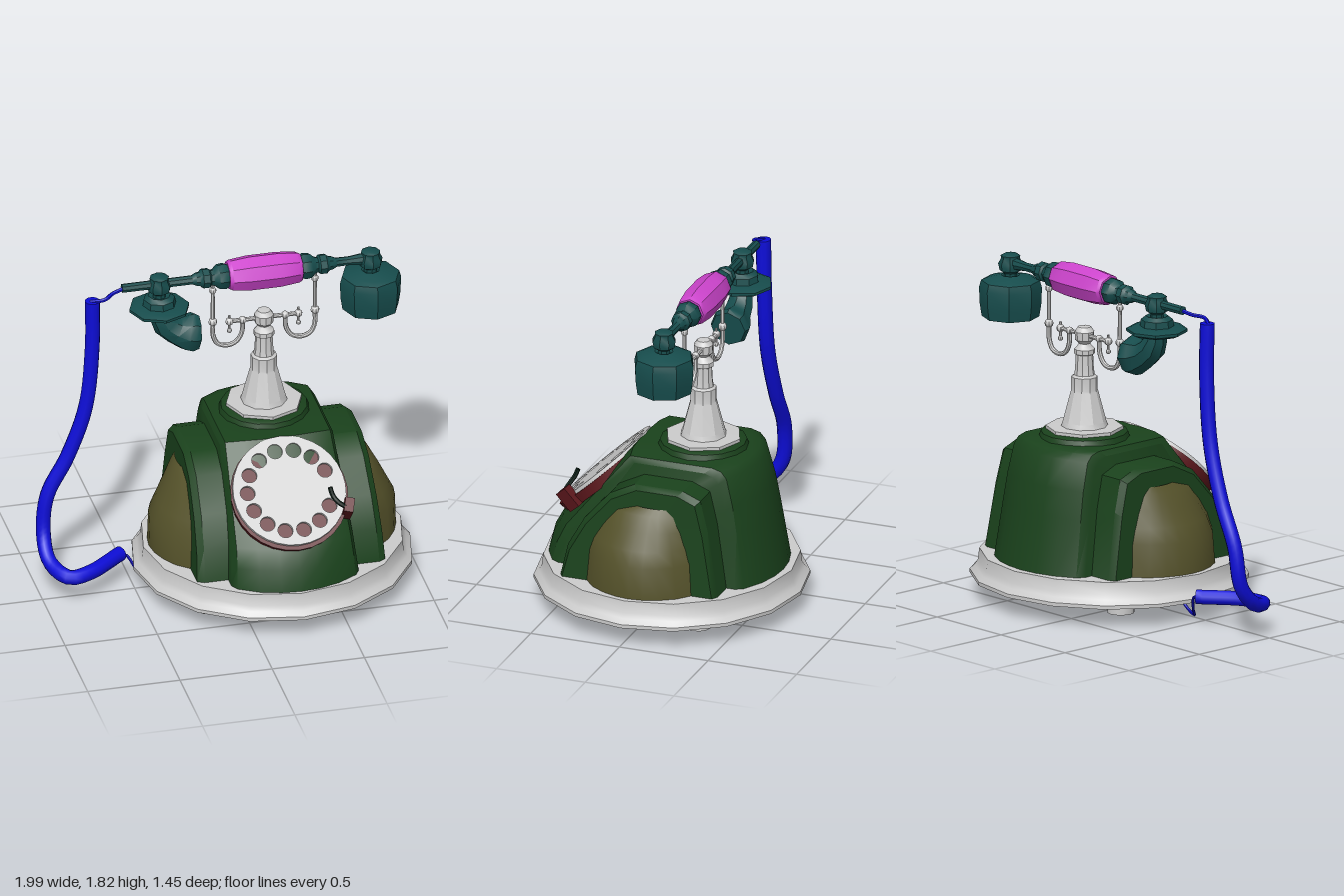
import * as THREE from 'three';
import { toCreasedNormals } from 'three/addons/utils/BufferGeometryUtils.js';

const V = (x, y, z) => new THREE.Vector3(x, y, z);
const mat = (color) => new THREE.MeshStandardMaterial({ color, side: THREE.DoubleSide });
const CX = 0.245, CZ = -0.183;   // axis of the stand and the handset

export function createModel() {
  const grey = mat(0xcccccc), green = mat(0x1a421c), olive = mat(0x55522a);
  const teal = mat(0x174d4d), pink = mat(0xcc44cc), red = mat(0x5c171c);
  const blue = mat(0x0d0dd8), black = mat(0x0c2018);
  const model = new THREE.Group();

  function add(name, geo, material, x = 0, y = 0, z = 0, crease = 0.6, parent = model) {
    const mesh = new THREE.Mesh(toCreasedNormals(geo, crease), material);
    mesh.name = name;
    mesh.position.set(x, y, z);
    parent.add(mesh);
    return mesh;
  }
  const lathe = (pts, sides) =>
    new THREE.LatheGeometry(pts.map(([r, y]) => new THREE.Vector2(r, y)), sides);
  const tube = (pts, r, segs = 24, sides = 8) =>
    new THREE.TubeGeometry(new THREE.CatmullRomCurve3(pts.map((p) => V(...p))), segs, r, sides);

  // Skin through equal rings of points (clockwise seen from the last ring)
  function loft(rings, closed = true) {
    const n = rings[0].length, pos = [], idx = [];
    rings.forEach((ring) => ring.forEach((p) => pos.push(p.x, p.y, p.z)));
    for (let i = 0; i < rings.length - 1; i++)
      for (let j = 0; j < (closed ? n : n - 1); j++) {
        const a = i * n + j, b = i * n + (j + 1) % n;
        idx.push(a, a + n, b + n, a, b + n, b);
      }
    if (closed) {
      const e = (rings.length - 1) * n;
      for (let j = 1; j < n - 1; j++) idx.push(0, j, j + 1, e, e + j + 1, e + j);
    }
    const g = new THREE.BufferGeometry();
    g.setAttribute('position', new THREE.Float32BufferAttribute(pos, 3));
    g.setIndex(idx);
    return g;
  }

  // Base plate and feet
  add('basePlate', lathe([[0, 0.11], [0.725, 0.11], [0.725, 0.13], [0.7, 0.155], [0.683, 0.18],
    [0.675, 0.245], [0, 0.245]], 16), grey, CX, 0, -0.005).scale.x = 1.033;
  for (const x of [-0.19, 0.68]) for (const z of [0.36, -0.32])
    add('foot', new THREE.CylinderGeometry(0.073, 0.073, 0.08, 12), grey, x, 0.085, z);

  // Body: a bowed centre section over a wider shoulder section, both [z, y] profiles lofted in x
  function section(name, profile, halfWidth, flare, bow, steps) {
    const rings = steps.map(([s, inset]) => profile.map(([z, y]) => V(
      CX + s * (halfWidth - flare * (y - 0.245)),
      y > 0.3 ? y - inset : y,
      z * (1 - bow * s * s) - Math.sign(z) * inset)));
    add(name, loft(rings), green);
  }
  section('bodyCentre', [[0.65, 0.245], [0.62, 0.36], [0.565, 0.46], [0.36, 0.68], [0.15, 0.9],
    [-0.41, 0.9], [-0.47, 0.885], [-0.505, 0.85], [-0.55, 0.7], [-0.58, 0.55], [-0.635, 0.245]],
  0.345, 0.06, 0.17, [[-1, 0.035], [-0.93, 0.008], [-0.62, 0], [-0.3, 0], [0, 0], [0.3, 0],
    [0.62, 0], [0.93, 0.008], [1, 0.035]]);
  section('bodyShoulders', [[0.44, 0.245], [0.4, 0.42], [0.31, 0.58], [0.17, 0.74], [0.03, 0.81],
    [-0.24, 0.81], [-0.34, 0.77], [-0.385, 0.6], [-0.445, 0.245]],
  0.51, 0.045, 0, [[-1, 0.02], [-0.93, 0], [0, 0], [0.93, 0], [1, 0.02]]);

  // Bulging side panels: rows of [y, front z, back z, half width]
  const panelRows = [[0.245, 0.3, -0.33, 0.665], [0.42, 0.28, -0.31, 0.66], [0.5, 0.25, -0.285, 0.62],
    [0.59, 0.19, -0.25, 0.575], [0.67, 0.12, -0.21, 0.53], [0.705, 0.01, -0.17, 0.5]];
  for (const side of [-1, 1]) {
    const rows = panelRows.map(([y, front, back, w]) => {
      const row = [];
      for (let i = 0; i <= 8; i++) {
        const t = i / 8;
        row.push(V(CX + side * (0.485 + (w - 0.485) * Math.pow(Math.sin(Math.PI * t), 0.7)),
          y, side > 0 ? front + (back - front) * t : back + (front - back) * t));
      }
      return row.reverse();
    });
    add('sidePanel', loft(rows, false), olive, 0, 0, 0, 0.9);
  }

  // Stand
  add('topDisc', lathe([[0.25, 0.87], [0.23, 0.925], [0.21, 0.935], [0, 0.935]], 16), green, CX, 0, CZ);
  add('standPlate', lathe([[0.205, 0.92], [0.205, 0.952], [0, 0.956]], 8), grey, CX, 0, CZ);
  add('standColumn', lathe([[0.125, 0.95], [0.115, 0.98], [0.073, 1.14], [0.07, 1.15], [0.07, 1.22],
    [0.055, 1.23], [0.05, 1.26], [0.046, 1.34], [0.055, 1.345], [0.055, 1.37], [0.04, 1.385],
    [0.03, 1.4], [0.05, 1.42], [0.052, 1.465], [0.035, 1.49], [0, 1.495]], 10), grey, CX, 0, CZ);

  // Cradle: crossbar with knobs and a hooked arm at each side
  const bar = add('cradleBar', new THREE.CylinderGeometry(0.012, 0.012, 0.37, 8), grey, CX, 1.445, CZ);
  bar.rotation.z = Math.PI / 2;
  for (const s of [-1, 1]) {
    const ball = (d, y, r) =>
      add('cradleKnob', new THREE.SphereGeometry(r, 8, 6), grey, CX + s * d, y, CZ);
    ball(0.187, 1.445, 0.022);
    ball(0.115, 1.445, 0.021);
    ball(0.187, 1.39, 0.014);
    ball(0.277, 1.455, 0.024);
    ball(0.277, 1.645, 0.02);
    add('cradleDrop', new THREE.CylinderGeometry(0.007, 0.007, 0.1, 6), grey, CX + s * 0.187, 1.43, CZ);
    add('cradleArm', tube([[0.277, 1.455], [0.275, 1.37], [0.25, 1.32], [0.2, 1.303], [0.15, 1.32],
      [0.12, 1.37], [0.115, 1.445]].map(([d, y]) => [CX + s * d, y, CZ]), 0.013), grey);
    add('cradlePost', new THREE.CylinderGeometry(0.01, 0.012, 0.26, 8), grey, CX + s * 0.277, 1.57, CZ);
  }

  // Dial, tilted back; local +z points out of its face
  const dial = new THREE.Group();
  dial.name = 'dial';
  dial.position.set(0.248, 0.69, 0.36);
  dial.rotation.x = -0.83;
  model.add(dial);
  const rim = add('dialRim', new THREE.CylinderGeometry(0.315, 0.305, 0.055, 28), red, 0, -0.012, -0.03, 0.6, dial);
  rim.rotation.x = Math.PI / 2;
  const face = new THREE.Shape().absarc(0, 0, 0.303, 0, Math.PI * 2);
  for (let k = 1; k <= 13; k++) {
    const a = -0.05 + k * Math.PI / 7;
    face.holes.push(new THREE.Path().absarc(0.225 * Math.cos(a), 0.225 * Math.sin(a), 0.04, 0, Math.PI * 2, true));
  }
  add('dialFace', new THREE.ExtrudeGeometry(face, { depth: 0.02, bevelEnabled: false, curveSegments: 16 }),
    grey, 0, 0, -0.003, 0.6, dial);
  add('fingerStopBlock', new THREE.BoxGeometry(0.05, 0.08, 0.12), red, 0.295, -0.13, 0, 0.6, dial).rotation.z = -0.3;
  add('fingerStopHook', tube([[0.558, 0.61, 0.47], [0.53, 0.63, 0.49], [0.485, 0.66, 0.48],
    [0.46, 0.695, 0.46], [0.45, 0.735, 0.445]], 0.013, 12, 6), black);

  // Handset, lathed along x
  const alongX = (name, pts, material) => {
    add(name, lathe(pts, 8), material, CX, 1.725, CZ, 0.7).rotation.z = -Math.PI / 2;
  };
  alongX('handsetGrip', [[0, -0.198], [0.075, -0.198], [0.085, -0.18], [0.096, -0.08], [0.096, 0.08],
    [0.085, 0.18], [0.075, 0.198], [0, 0.198]], pink);
  const collar = [[0.06, 0.19], [0.072, 0.215], [0.068, 0.25], [0.045, 0.275], [0.042, 0.29],
    [0.054, 0.3], [0.054, 0.335], [0.04, 0.35], [0.036, 0.37], [0.025, 0.39]];
  alongX('handsetRod', [[0, -0.77], [0.024, -0.77], ...collar.map(([r, y]) => [r, -y]).reverse(),
    ...collar, [0.024, 0.46], [0.032, 0.53], [0.03, 0.58], [0, 0.58]], teal);

  // Earpiece and mouthpiece share the same swivel joint
  const joint = [[0.035, 1.65], [0.035, 1.67], [0.058, 1.685], [0.065, 1.72], [0.05, 1.75],
    [0.052, 1.765], [0.035, 1.775], [0, 1.775]];
  add('earpiece', lathe([[0, 1.45], [0.13, 1.45], [0.152, 1.435], [0.162, 1.5], [0.166, 1.59], [0.155, 1.63],
    [0.12, 1.645], [0.05, 1.66], ...joint], 8), teal, 0.823, 0, CZ, 0.7);
  add('mouthpiece', lathe([[0, 1.545], [0.07, 1.545], [0.13, 1.56], [0.162, 1.575], [0.162, 1.59], [0.13, 1.602],
    [0.09, 1.605], [0.085, 1.64], [0.06, 1.66], ...joint], 8), teal, -0.322, 0, CZ, 0.7);

  // Horn: rings of [x, y, radius, heading]
  const horn = [[-0.322, 1.57, 0.05, -1.57], [-0.312, 1.525, 0.06, -1.3], [-0.285, 1.475, 0.072, -0.95],
    [-0.235, 1.435, 0.078, -0.5], [-0.18, 1.415, 0.1, -0.25], [-0.145, 1.41, 0.108, -0.15],
    [-0.115, 1.407, 0.095, -0.1]];
  add('horn', loft(horn.map(([x, y, r, h]) => Array.from({ length: 8 }, (_, j) => {
    const c = r * Math.cos(j * Math.PI / 4), s = r * Math.sin(j * Math.PI / 4);
    return V(x - Math.sin(h) * c, y + Math.cos(h) * c, CZ - s);
  })), true), teal, 0, 0, 0, 0.7);

  // Cord: thick sleeve with a thin wire at each end
  const sleeve = [[-0.69, 1.685, -0.16], [-0.69, 1.4, -0.165], [-0.725, 1.04, -0.17], [-0.82, 0.75, -0.18],
    [-0.93, 0.52, -0.185], [-0.955, 0.3, -0.16], [-0.945, 0.19, -0.06], [-0.87, 0.158, 0.07],
    [-0.76, 0.16, 0.05], [-0.55, 0.16, -0.11]];
  add('cordSleeve', tube(sleeve, 0.04, 60, 10), blue, 0, 0, 0, 0.9);
  for (const [i, j] of [[0, 1], [9, 8]]) {
    const end = add('cordSleeveEnd', new THREE.CircleGeometry(0.04, 10), blue, ...sleeve[i]);
    end.lookAt(V(...sleeve[i]).multiplyScalar(2).sub(V(...sleeve[j])));
  }
  add('upperWire', tube([[-0.51, 1.725, CZ], [-0.58, 1.71, -0.165], [-0.63, 1.7, -0.13], [-0.7, 1.68, -0.16]],
    0.011, 16, 6), blue);
  add('lowerWire', tube([[-0.56, 0.165, -0.1], [-0.52, 0.15, -0.1], [-0.47, 0.07, -0.06],
    [-0.4, 0.012, 0.01], [-0.32, 0.035, 0.03], [-0.24, 0.11, 0.03]], 0.008, 20, 6), blue);

  return model;
}
